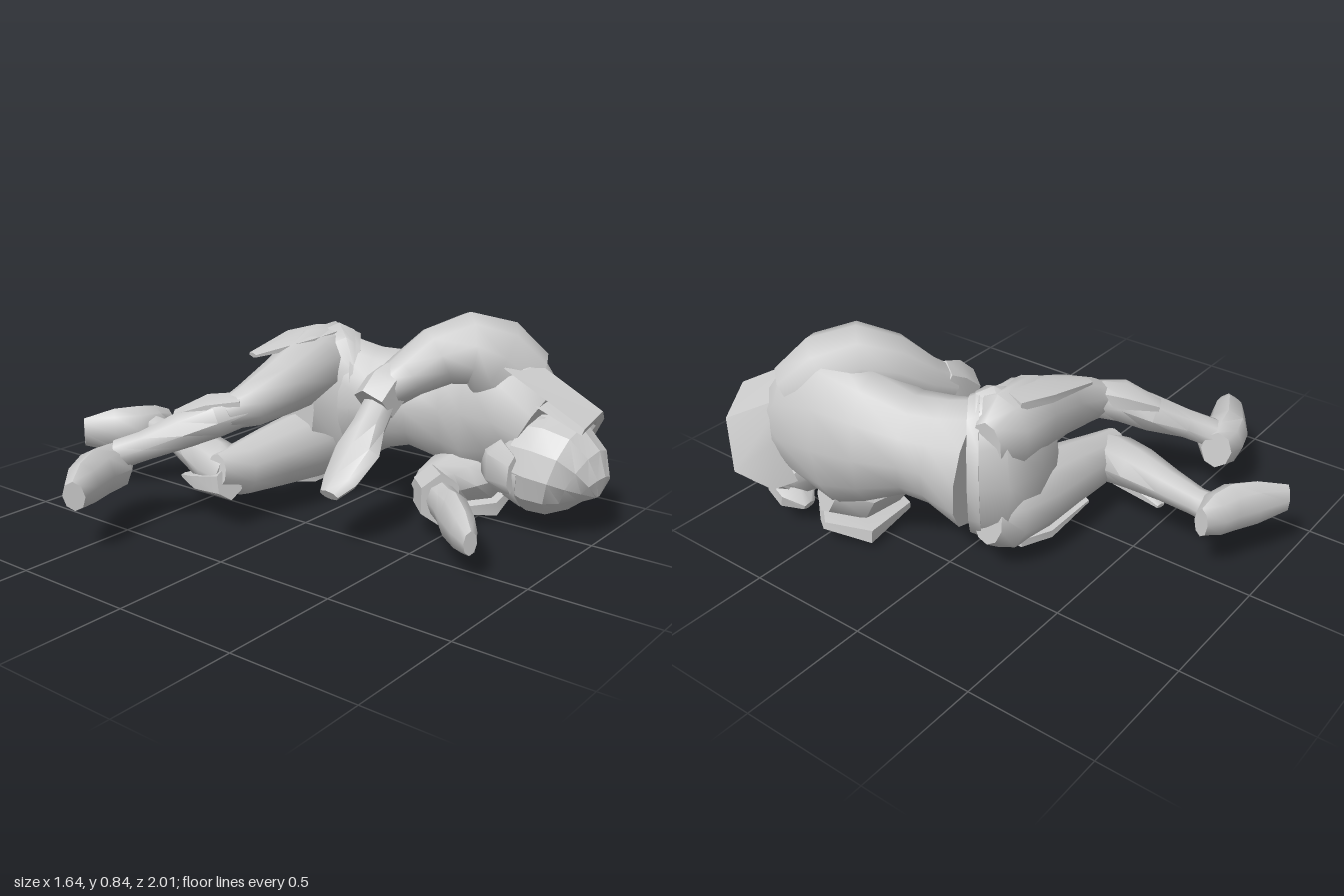
import * as THREE from 'three';
import { toCreasedNormals } from 'three/addons/utils/BufferGeometryUtils.js';

const V = (x, y, z) => new THREE.Vector3(x, y, z);
const material = new THREE.MeshStandardMaterial({ color: 0xcccccc, side: THREE.DoubleSide });

function part(name, positions, crease) {
  const g = new THREE.BufferGeometry();
  g.setAttribute('position', new THREE.Float32BufferAttribute(positions, 3));
  const mesh = new THREE.Mesh(toCreasedNormals(g, crease), material);
  mesh.name = name;
  return mesh;
}

// Skin of elliptical rings along a path; each ring is [x, y, z, halfWidth, halfHeight]
function loft(name, rings, sides = 8, crease = 0.85) {
  const pts = rings.map(r => V(r[0], r[1], r[2]));
  const loops = rings.map((r, i) => {
    const t = pts[Math.min(i + 1, pts.length - 1)].clone().sub(pts[Math.max(i - 1, 0)]).normalize();
    const u = V(0, 1, 0).addScaledVector(t, -t.y).normalize();
    const v = t.clone().cross(u);
    return Array.from({ length: sides }, (_, k) => {
      const a = k / sides * Math.PI * 2;
      return pts[i].clone().addScaledVector(u, Math.cos(a) * r[4]).addScaledVector(v, Math.sin(a) * r[3]);
    });
  });
  const out = [];
  const tri = (...p) => p.forEach(q => out.push(q.x, q.y, q.z));
  const last = loops.length - 1;
  for (let k = 0; k < sides; k++) {
    const n = (k + 1) % sides;
    for (let i = 0; i < last; i++) {
      const a = loops[i], b = loops[i + 1];
      tri(a[k], a[n], b[n]);
      tri(a[k], b[n], b[k]);
    }
    tri(pts[0], loops[0][n], loops[0][k]);
    tri(pts[last], loops[last][k], loops[last][n]);
  }
  return part(name, out, crease);
}

// Open sheet through rows of points
function sheet(name, rows) {
  const out = [];
  for (let i = 0; i < rows.length - 1; i++)
    for (let k = 0; k < rows[i].length - 1; k++) {
      const a = rows[i][k], b = rows[i][k + 1], c = rows[i + 1][k + 1], d = rows[i + 1][k];
      out.push(...a, ...d, ...c, ...a, ...c, ...b);
    }
  return part(name, out, 0.6);
}

export function createModel() {
  const model = new THREE.Group();
  const add = (...m) => model.add(...m);

  // Body lying on its left side
  add(loft('torso', [
    [0.41, 0.42, -0.07, 0.175, 0.275], [0.435, 0.44, 0.07, 0.18, 0.215], [0.47, 0.45, 0.18, 0.185, 0.2],
    [0.535, 0.46, 0.32, 0.195, 0.27], [0.56, 0.46, 0.45, 0.2, 0.32],
    [0.565, 0.45, 0.6, 0.2, 0.27], [0.57, 0.4, 0.7, 0.16, 0.18]], 12));
  add(loft('belt', [[0.425, 0.42, -0.05, 0.183, 0.275], [0.4, 0.42, -0.085, 0.187, 0.295]], 12));
  add(loft('pelvis', [
    [0.41, 0.42, -0.07, 0.18, 0.29], [0.37, 0.42, -0.12, 0.18, 0.32],
    [0.28, 0.42, -0.16, 0.14, 0.29], [0.16, 0.42, -0.17, 0.09, 0.2]], 12));

  // Head with hair cap, jaw and neck
  add(loft('neck', [[0.56, 0.38, 0.56, 0.1, 0.1], [0.56, 0.3, 0.74, 0.1, 0.1]]));
  add(loft('head', [
    [0.53, 0.29, 0.58, 0.1, 0.1], [0.54, 0.28, 0.65, 0.17, 0.17], [0.54, 0.265, 0.74, 0.19, 0.185]], 12));
  add(loft('hair', [
    [0.55, 0.28, 0.68, 0.19, 0.18], [0.55, 0.27, 0.76, 0.205, 0.2], [0.56, 0.255, 0.85, 0.195, 0.19],
    [0.56, 0.23, 0.92, 0.145, 0.145], [0.555, 0.205, 0.965, 0.08, 0.08], [0.55, 0.18, 0.985, 0.01, 0.01]], 12, 0.4));
  add(loft('jaw', [[0.48, 0.28, 0.58, 0.07, 0.12], [0.4, 0.27, 0.64, 0.06, 0.11], [0.36, 0.26, 0.72, 0.025, 0.08]], 6));
  add(loft('hairTuft', [[0.62, 0.14, 0.76, 0.08, 0.05], [0.64, 0.12, 0.66, 0.09, 0.05], [0.64, 0.09, 0.6, 0.03, 0.02]], 6));
  for (const y of [0.1, 0.43])
    add(loft('ear', [[0.54, y, 0.68, 0.04, 0.03], [0.53, y, 0.76, 0.05, 0.03]], 6));

  // Stiff collar flaring round the back of the head
  const root = [[0.4, 0.66, 0.64], [0.56, 0.7, 0.62], [0.7, 0.6, 0.6], [0.74, 0.42, 0.63], [0.7, 0.24, 0.58]];
  const rim = [[0.42, 0.48, 0.975], [0.6, 0.505, 0.96], [0.75, 0.43, 0.9], [0.82, 0.26, 0.8], [0.76, 0.2, 0.66]];
  const inside = rim.map(([x, y, z]) => [x + (0.56 - x) * 0.15, y + (0.26 - y) * 0.15, z - 0.02]);
  const throat = root.map(([x, y, z]) => [x + (0.56 - x) * 0.4, y + (0.4 - y) * 0.4, z]);
  add(sheet('collar', [root, rim, inside, throat]));

  // Right arm, on top, hanging forward
  add(loft('rightSleeve', [
    [0.6, 0.55, 0.61, 0.14, 0.16], [0.52, 0.65, 0.51, 0.18, 0.18], [0.45, 0.7, 0.44, 0.165, 0.145],
    [0.37, 0.67, 0.36, 0.14, 0.12], [0.28, 0.6, 0.28, 0.11, 0.09], [0.2, 0.55, 0.24, 0.08, 0.08]], 10, 1));
  add(loft('rightCuff', [[0.25, 0.6, 0.25, 0.075, 0.075], [0.2, 0.56, 0.24, 0.085, 0.1], [0.13, 0.5, 0.23, 0.085, 0.095]], 6));
  add(loft('rightForearm', [
    [0.2, 0.55, 0.24, 0.06, 0.06], [0.07, 0.43, 0.25, 0.07, 0.06], [-0.02, 0.36, 0.265, 0.1, 0.055],
    [-0.12, 0.27, 0.26, 0.08, 0.04], [-0.18, 0.23, 0.255, 0.045, 0.025]], 8));

  // Left arm, underneath, stretched along the ground
  add(loft('leftSleeve', [
    [0.62, 0.22, 0.5, 0.1, 0.12], [0.52, 0.18, 0.45, 0.15, 0.13], [0.4, 0.17, 0.42, 0.13, 0.1],
    [0.28, 0.17, 0.43, 0.1, 0.09], [0.2, 0.17, 0.48, 0.07, 0.08]], 8));
  add(loft('leftShoulderCap', [
    [0.65, 0.09, 0.52, 0.1, 0.03], [0.55, 0.055, 0.44, 0.19, 0.055], [0.35, 0.06, 0.39, 0.09, 0.025]], 6));
  add(loft('leftCuff', [[0.26, 0.17, 0.42, 0.08, 0.1], [0.17, 0.17, 0.52, 0.085, 0.105]], 6));
  add(loft('leftForearm', [
    [0.22, 0.17, 0.47, 0.06, 0.07], [0.12, 0.17, 0.59, 0.06, 0.075], [0.05, 0.17, 0.66, 0.06, 0.1],
    [-0.03, 0.16, 0.75, 0.05, 0.085], [-0.085, 0.15, 0.81, 0.025, 0.05]], 8));

  // Right leg, on top, foot reaching out to the side
  add(loft('rightThigh', [
    [0.49, 0.57, -0.18, 0.06, 0.1], [0.4, 0.575, -0.165, 0.13, 0.16], [0.24, 0.575, -0.165, 0.135, 0.155],
    [0.04, 0.53, -0.16, 0.11, 0.12], [-0.13, 0.485, -0.18, 0.085, 0.09], [-0.23, 0.46, -0.22, 0.06, 0.06]], 10));
  add(loft('rightShin', [
    [-0.14, 0.48, -0.18, 0.07, 0.07], [-0.24, 0.45, -0.25, 0.085, 0.08], [-0.32, 0.4, -0.35, 0.085, 0.075],
    [-0.42, 0.34, -0.46, 0.06, 0.06], [-0.48, 0.3, -0.55, 0.06, 0.06]], 8));
  add(loft('rightKneePad', [[-0.17, 0.5, -0.18, 0.06, 0.05], [-0.24, 0.49, -0.28, 0.09, 0.05], [-0.31, 0.45, -0.4, 0.04, 0.02]], 6));
  add(loft('rightFoot', [
    [-0.43, 0.26, -0.6, 0.06, 0.075], [-0.5, 0.25, -0.575, 0.095, 0.095], [-0.6, 0.25, -0.555, 0.085, 0.1],
    [-0.72, 0.25, -0.495, 0.07, 0.09], [-0.8, 0.24, -0.45, 0.045, 0.06]], 8));

  // Left leg, underneath, shin folded back
  add(loft('leftThigh', [
    [0.49, 0.26, -0.18, 0.06, 0.1], [0.4, 0.25, -0.165, 0.13, 0.16], [0.22, 0.24, -0.18, 0.14, 0.15],
    [0.02, 0.23, -0.2, 0.115, 0.13], [-0.14, 0.22, -0.22, 0.095, 0.11], [-0.27, 0.24, -0.23, 0.055, 0.07]], 10));
  add(loft('leftShin', [
    [-0.21, 0.22, -0.2, 0.08, 0.08], [-0.18, 0.23, -0.3, 0.1, 0.1], [-0.145, 0.25, -0.42, 0.095, 0.085],
    [-0.1, 0.26, -0.58, 0.07, 0.065], [-0.07, 0.26, -0.72, 0.052, 0.055], [-0.06, 0.26, -0.82, 0.06, 0.06]], 8));
  add(loft('leftKneePad', [[-0.25, 0.2, -0.18, 0.06, 0.07], [-0.2, 0.165, -0.34, 0.08, 0.05], [-0.14, 0.125, -0.53, 0.02, 0.01]], 6));
  add(loft('leftFoot', [
    [0.04, 0.26, -0.8, 0.03, 0.06], [-0.03, 0.26, -0.81, 0.065, 0.09], [-0.11, 0.26, -0.835, 0.07, 0.1],
    [-0.19, 0.26, -0.895, 0.055, 0.095], [-0.29, 0.26, -0.975, 0.025, 0.06]], 8));

  // Pointed jacket tails over the hips
  for (const [name, y, tip] of [['rightJacketTail', 0.7, 0.65], ['leftJacketTail', 0.12, 0.13]])
    add(loft(name, [[0.36, y, -0.17, 0.09, 0.03], [0.22, y - 0.01, -0.2, 0.11, 0.03], [0, tip, -0.27, 0.03, 0.01]], 6));
  return model;
}
